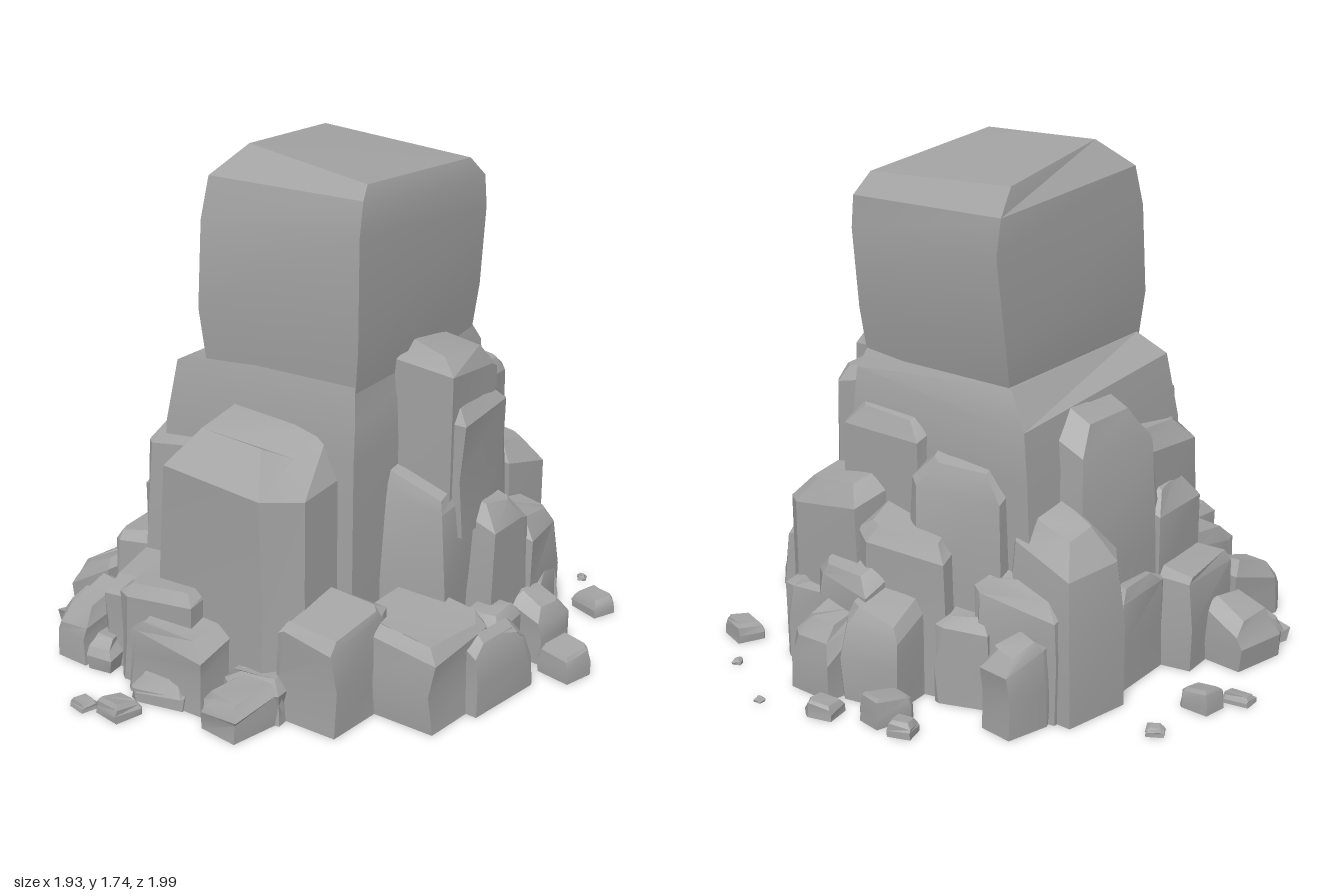
import * as THREE from 'three';
import { toCreasedNormals } from 'three/addons/utils/BufferGeometryUtils.js';

const stone = new THREE.MeshStandardMaterial({ color: 0xa3a3a3 });
stone.name = 'grey stone';

// Small seeded generator, returns -1..1
let seed = 7;
const rnd = () => {
  seed = (seed * 16807) % 2147483647;
  return (seed / 2147483647) * 2 - 1;
};

// Skin stacked loops of points, closed at both ends
function loft(name, rings) {
  const pos = [];
  const n = rings[0].length;
  const tri = (a, b, c) => pos.push(...a, ...b, ...c);
  for (let r = 0; r < rings.length - 1; r++) {
    for (let i = 0; i < n; i++) {
      const j = (i + 1) % n;
      const [a, b, c, d] = [rings[r][i], rings[r][j], rings[r + 1][j], rings[r + 1][i]];
      tri(a, b, c);
      tri(a, c, d);
    }
  }
  const bottom = rings[0], top = rings[rings.length - 1];
  for (let i = 1; i < n - 1; i++) {
    tri(top[0], top[i], top[i + 1]);
    tri(bottom[0], bottom[i + 1], bottom[i]);
  }
  const g = new THREE.BufferGeometry();
  g.setAttribute('position', new THREE.Float32BufferAttribute(pos, 3));
  const mesh = new THREE.Mesh(toCreasedNormals(g, 0.4), stone);
  mesh.name = name;
  return mesh;
}

// Rough block over a four-sided plan [x, z] in order front left, front right, back right, back left.
// tilt = rise of the top per unit x and z, bevel = size of the worn top edge.
function rock(name, plan, y0, y1, { tilt = [0, 0], bevel = 0.04, taper = 0.06, rough = 0.012, cut = 0.16 } = {}) {
  const cx = plan.reduce((s, p) => s + p[0], 0) / 4;
  const cz = plan.reduce((s, p) => s + p[1], 0) / 4;
  // Clip one end of each side so every corner gets a narrow broken face
  const outline = [];
  plan.forEach((p, i) => {
    const q = plan[(i + 1) % 4];
    const o = plan[(i + 3) % 4];
    const c = cut * (0.6 + 0.4 * rnd());
    if (i % 2) outline.push(p);
    else outline.push([p[0] + (o[0] - p[0]) * c, p[1] + (o[1] - p[1]) * c], [p[0] + (q[0] - p[0]) * c, p[1] + (q[1] - p[1]) * c]);
  });
  const size = Math.hypot(plan[0][0] - plan[2][0], plan[0][1] - plan[2][1]);
  const h = y1 - y0;
  const b = Math.min(bevel, h * 0.35);
  const levels = [[0, 1], [h * 0.45, 1 - taper * 0.2], [h - b, 1 - taper], [h, 1 - taper - (2.4 * b) / size]];
  const rings = levels.map(([y, s], k) => outline.map(([x, z]) => {
    const px = cx + (x - cx) * s + (k ? rnd() * rough : 0);
    const pz = cz + (z - cz) * s + (k ? rnd() * rough : 0);
    const lift = k > 1 ? (px - cx) * tilt[0] + (pz - cz) * tilt[1] : 0;
    return [px, Math.max(0, y0 + y + lift + (k ? rnd() * rough * 0.6 : 0)), pz];
  }));
  return loft(name, rings);
}

// Plan from its bounds, turned a little
function plan(x0, x1, z0, z1, turn = 0) {
  const cx = (x0 + x1) / 2, cz = (z0 + z1) / 2;
  const c = Math.cos(turn), s = Math.sin(turn);
  return [[x0, z1], [x1, z1], [x1, z0], [x0, z0]].map(([x, z]) =>
    [cx + (x - cx) * c + (z - cz) * s, cz - (x - cx) * s + (z - cz) * c]);
}

export function createModel() {
  seed = 7;
  const group = new THREE.Group();
  group.name = 'rock outcrop';

  // Main tower: waisted pillar with a heavy block on top
  group.add(loft('towerBase', [
    [[-0.42, 0, 0.36], [0.36, 0, 0.37], [0.36, 0, -0.46], [-0.40, 0, -0.46]],
    [[-0.40, 0.78, 0.35], [0.36, 0.80, 0.36], [0.37, 0.8, -0.45], [-0.38, 0.75, -0.47]],
    [[-0.37, 1.0, 0.32], [0.355, 0.92, 0.345], [0.36, 1.0, -0.43], [-0.36, 0.92, -0.46]],
    [[-0.26, 1.06, 0.30], [0.34, 1.1, 0.325], [0.34, 1.07, -0.39], [-0.27, 1.04, -0.41]],
  ]));
  group.add(loft('towerBlock', [
    [[-0.25, 1.0, 0.315], [0.34, 0.98, 0.325], [0.34, 1.0, -0.39], [-0.26, 1.0, -0.40]],
    [[-0.275, 1.2, 0.325], [0.362, 1.18, 0.34], [0.362, 1.2, -0.41], [-0.28, 1.18, -0.45]],
    [[-0.27, 1.5, 0.31], [0.362, 1.55, 0.335], [0.37, 1.47, -0.43], [-0.275, 1.48, -0.49]],
    [[-0.265, 1.64, 0.27], [0.352, 1.66, 0.30], [0.365, 1.58, -0.425], [-0.27, 1.6, -0.46]],
    [[-0.18, 1.735, 0.16], [0.335, 1.70, 0.25], [0.345, 1.65, -0.36], [-0.24, 1.68, -0.37]],
  ]));

  // Front buttress with a broken, sloping crown
  group.add(loft('frontButtress', [
    [[-0.24, 0, 0.62], [0.21, 0, 0.67], [0.31, 0, 0.56], [0.31, 0, 0.28], [-0.24, 0, 0.28]],
    [[-0.23, 0.4, 0.62], [0.21, 0.4, 0.66], [0.30, 0.4, 0.55], [0.30, 0.4, 0.28], [-0.23, 0.4, 0.28]],
    [[-0.19, 0.77, 0.64], [0.20, 0.74, 0.66], [0.295, 0.72, 0.54], [0.30, 0.74, 0.28], [-0.225, 0.79, 0.28]],
    [[-0.13, 0.87, 0.51], [0.12, 0.86, 0.53], [0.20, 0.82, 0.46], [0.22, 0.89, 0.28], [-0.12, 0.91, 0.28]],
  ]));

  const add = (name, list) => list.forEach(([x0, x1, z0, z1, y1, turn = 0, opt = {}, y0 = 0]) =>
    group.add(rock(name, plan(x0, x1, z0, z1, turn), y0, y1, opt)));

  // Tall columns leaning on both flanks
  add('leftColumn', [
    [-0.48, -0.2, -0.08, 0.40, 0.81, 0.05, { tilt: [0.15, -0.1], bevel: 0.07, taper: 0.12 }],
    [-0.51, -0.25, -0.33, 0.12, 0.93, -0.06, { tilt: [0.5, 0], bevel: 0.08, taper: 0.14 }],
    [-0.52, -0.34, 0.05, 0.33, 0.62, 0.1, { tilt: [0.4, 0], bevel: 0.06 }],
  ]);
  add('rightColumn', [
    [0.3, 0.57, -0.26, 0.10, 1.10, -0.04, { tilt: [-0.1, 0.12], bevel: 0.06, taper: 0.08, rough: 0.02 }],
    [0.3, 0.59, -0.25, 0.09, 0.94, 0.07, { bevel: 0.05, rough: 0.02 }, 0.5],
    [0.3, 0.58, -0.1, 0.19, 0.70, 0.03, { tilt: [-0.3, -0.2], rough: 0.02 }],
    [0.46, 0.68, -0.26, 0.0, 0.58, -0.06, { tilt: [-0.3, 0.1], bevel: 0.06, taper: 0.12 }],
    [0.28, 0.50, -0.42, -0.2, 0.99, 0.05, { tilt: [-0.2, 0.1] }],
  ]);

  // Stepped blocks climbing the back
  add('backBlock', [
    [-0.3, 0.08, -0.54, -0.3, 0.80, 0.12, { tilt: [0.1, 0.4], bevel: 0.07 }],
    [0.02, 0.38, -0.50, -0.3, 0.90, -0.08, { tilt: [0, 0.3], bevel: 0.06 }],
    [0.18, 0.54, -0.62, -0.38, 0.65, -0.08, { tilt: [-0.2, 0.2], bevel: 0.06 }],
    [-0.12, 0.22, -0.63, -0.4, 0.56, 0.15, { tilt: [0.2, 0.3] }],
    [-0.62, -0.3, -0.52, -0.22, 0.62, -0.12, { tilt: [0.35, 0.2], bevel: 0.08, taper: 0.15 }],
    [-0.54, -0.22, -0.56, -0.36, 0.44, 0.08, { tilt: [0.2, 0.3] }],
    [0.46, 0.67, -0.50, -0.22, 0.46, 0.15, { tilt: [-0.3, 0.2], bevel: 0.05 }],
    [0.08, 0.36, -0.70, -0.5, 0.42, -0.1, { tilt: [0, 0.4] }],
    [-0.07, 0.17, -0.79, -0.5, 0.33, 0.12, { tilt: [0.2, 0.3] }],
    [0.13, 0.33, -0.84, -0.6, 0.26, -0.1, { tilt: [0, 0.3], taper: 0.15 }],
    [0.32, 0.52, -0.65, -0.45, 0.30, 0.1],
    [-0.52, -0.37, -0.71, -0.52, 0.28, -0.2, { tilt: [0, 0.3] }],
    [-0.3, -0.1, -0.62, -0.45, 0.30, 0.3],
  ]);

  // Low blocks ringing the front and sides
  add('footBlock', [
    [0.27, 0.51, 0.36, 0.67, 0.345, -0.07, { tilt: [-0.05, -0.15], bevel: 0.03 }],
    [0.40, 0.76, 0.10, 0.47, 0.30, -0.08, { tilt: [-0.12, -0.05], bevel: 0.03 }],
    [0.73, 0.82, -0.01, 0.30, 0.24, -0.12, { tilt: [-0.5, 0], taper: 0.15 }],
    [0.60, 0.76, -0.1, 0.12, 0.25, 0.1],
    [-0.34, -0.04, 0.42, 0.72, 0.355, 0.04, { tilt: [0.05, -0.1], bevel: 0.03 }],
    [-0.25, 0.07, 0.52, 0.79, 0.27, -0.06, { tilt: [-0.05, -0.2], bevel: 0.04 }],
    [-0.22, -0.02, 0.66, 0.82, 0.10, 0.15, { tilt: [0, -0.3] }],
    [0.11, 0.28, 0.64, 0.87, 0.125, -0.2, { tilt: [0, -0.15], bevel: 0.03 }],
    [0.06, 0.3, 0.55, 0.72, 0.14, 0.1],
    [-0.47, -0.3, 0.38, 0.66, 0.32, 0.06, { tilt: [0.1, -0.2] }],
    [-0.61, -0.46, 0.45, 0.72, 0.21, -0.12, { tilt: [0, -0.3], bevel: 0.05 }],
    [-0.47, -0.38, 0.55, 0.73, 0.11, 0.1],
    [-0.64, -0.46, 0.05, 0.38, 0.335, 0.12, { tilt: [0.1, 0], bevel: 0.03 }],
    [-0.81, -0.61, 0.17, 0.39, 0.19, -0.15, { tilt: [0.4, 0], bevel: 0.04 }],
    [-0.77, -0.63, 0.36, 0.52, 0.09, -0.25, { tilt: [0.2, -0.2] }],
    [-0.56, -0.42, -0.2, 0.08, 0.34, 0.08],
    [0.64, 0.80, -0.32, -0.14, 0.21, -0.1, { tilt: [-0.4, 0] }],
    [0.59, 0.69, -0.45, -0.28, 0.24, 0.2],
  ]);

  // Loose stones scattered on the ground: x, z, width, depth, height, turn
  [
    [-0.20, -0.88, 0.08, 0.08, 0.05, 0.3], [-0.09, -0.83, 0.10, 0.15, 0.09, -0.25],
    [0.095, -0.92, 0.10, 0.10, 0.05, 0.2], [0.325, -0.985, 0.03, 0.025, 0.015, 0],
    [0.59, -0.81, 0.03, 0.03, 0.02, 0.4], [0.74, -0.62, 0.13, 0.10, 0.06, -0.4],
    [-0.835, -0.40, 0.06, 0.05, 0.03, 0.5], [-0.84, -0.14, 0.12, 0.10, 0.07, -0.1],
    [-0.915, -0.035, 0.10, 0.07, 0.03, 0.1], [0.885, -0.14, 0.14, 0.13, 0.10, -0.25],
    [-0.30, 0.95, 0.08, 0.07, 0.025, -0.3], [-0.18, 0.92, 0.12, 0.11, 0.05, -0.25],
  ].forEach(([x, z, w, d, h, turn]) => group.add(rock('looseStone',
    plan(x - w / 2, x + w / 2, z - d / 2, z + d / 2, turn), 0, h,
    { bevel: 0.012, taper: 0.1, rough: 0.004, tilt: [rnd() * 0.15, rnd() * 0.15] })));

  return group;
}
